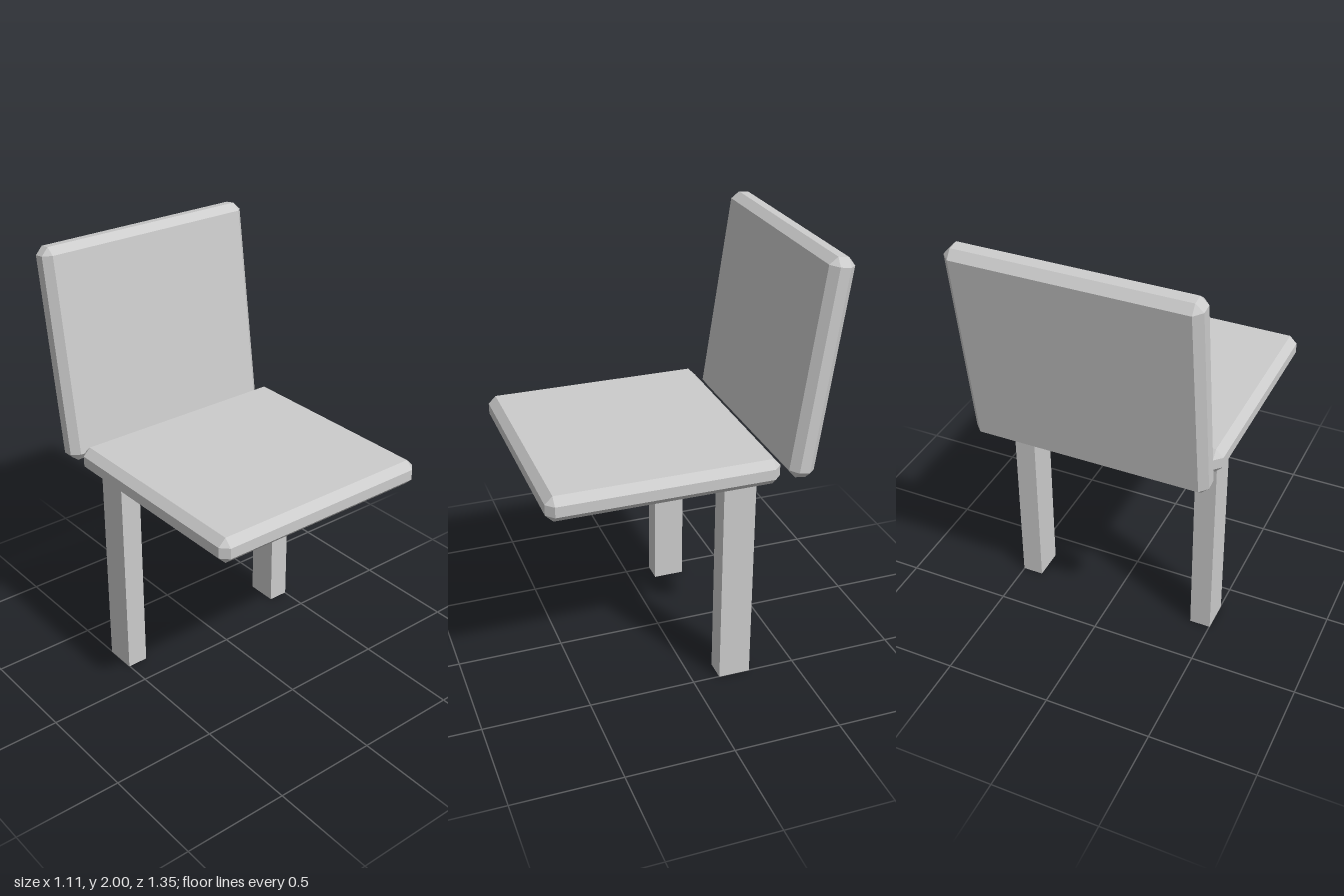
import * as THREE from 'three';
import { ConvexGeometry } from 'three/addons/geometries/ConvexGeometry.js';

const material = new THREE.MeshStandardMaterial({ color: 0xcccccc, flatShading: true });

// Box with every edge chamfered by c and small triangles at the corners
function chamferBox(w, h, d, c) {
  const points = [];
  for (const sx of [-1, 1]) for (const sy of [-1, 1]) for (const sz of [-1, 1]) {
    const x = w / 2, y = h / 2, z = d / 2;
    points.push(
      new THREE.Vector3(sx * x, sy * (y - c), sz * (z - c)),
      new THREE.Vector3(sx * (x - c), sy * y, sz * (z - c)),
      new THREE.Vector3(sx * (x - c), sy * (y - c), sz * z)
    );
  }
  return new ConvexGeometry(points);
}

function addPart(group, name, geometry, x, y, z) {
  const mesh = new THREE.Mesh(geometry, material);
  mesh.name = name;
  mesh.position.set(x, y, z);
  group.add(mesh);
  return mesh;
}

export function createModel() {
  const chair = new THREE.Group();
  chair.name = 'chair';

  // Seat cushion
  addPart(chair, 'seat', chamferBox(1.106, 0.12, 1.054, 0.035), 0, 1.06, 0.147);

  // Backrest, leaning backwards
  const backrest = addPart(chair, 'backrest', chamferBox(1.106, 1.0, 0.12, 0.035), 0, 1.502, -0.548);
  backrest.rotation.x = -0.14;

  // Two legs
  for (const [name, side] of [['leftLeg', 1], ['rightLeg', -1]]) {
    addPart(chair, name, new THREE.BoxGeometry(0.1, 1.0, 0.15), side * 0.452, 0.5, -0.203);
  }

  return chair;
}
